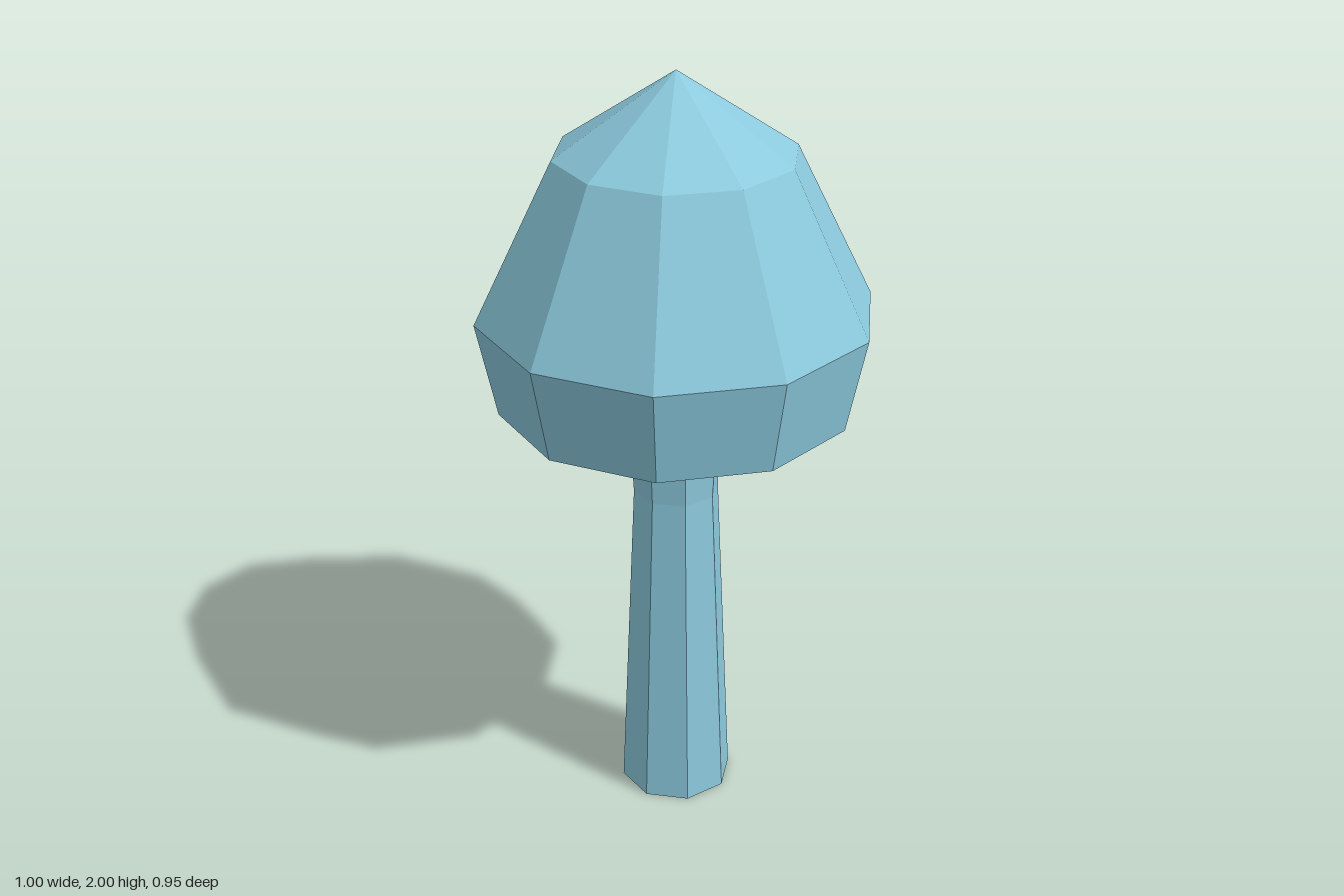
import * as THREE from 'three';

const paleBlue = new THREE.MeshStandardMaterial({ color: 0x8ccadd });
paleBlue.name = 'paleBlue';

// Faceted solid of revolution; profile runs bottom to top as [radius, height]
function facetedLathe(name, profile, sides) {
  const points = profile.map(([r, y]) => new THREE.Vector2(r, y));
  const geometry = new THREE.LatheGeometry(points, sides, Math.PI / 2).toNonIndexed();
  geometry.computeVertexNormals();
  const mesh = new THREE.Mesh(geometry, paleBlue);
  mesh.name = name;
  return mesh;
}

export function createModel() {
  const model = new THREE.Group();
  model.name = 'mushroom';

  // Eight-sided stem, narrowest just below the cap
  model.add(facetedLathe('stem', [[0, 0], [0.15, 0], [0.111, 0.9], [0.125, 1.16]], 8));

  // Ten-sided cap with a flat underside
  model.add(facetedLathe('cap', [[0, 1.155], [0.45, 1.155], [0.5, 1.4], [0.3, 1.8], [0, 2]], 10));

  return model;
}
